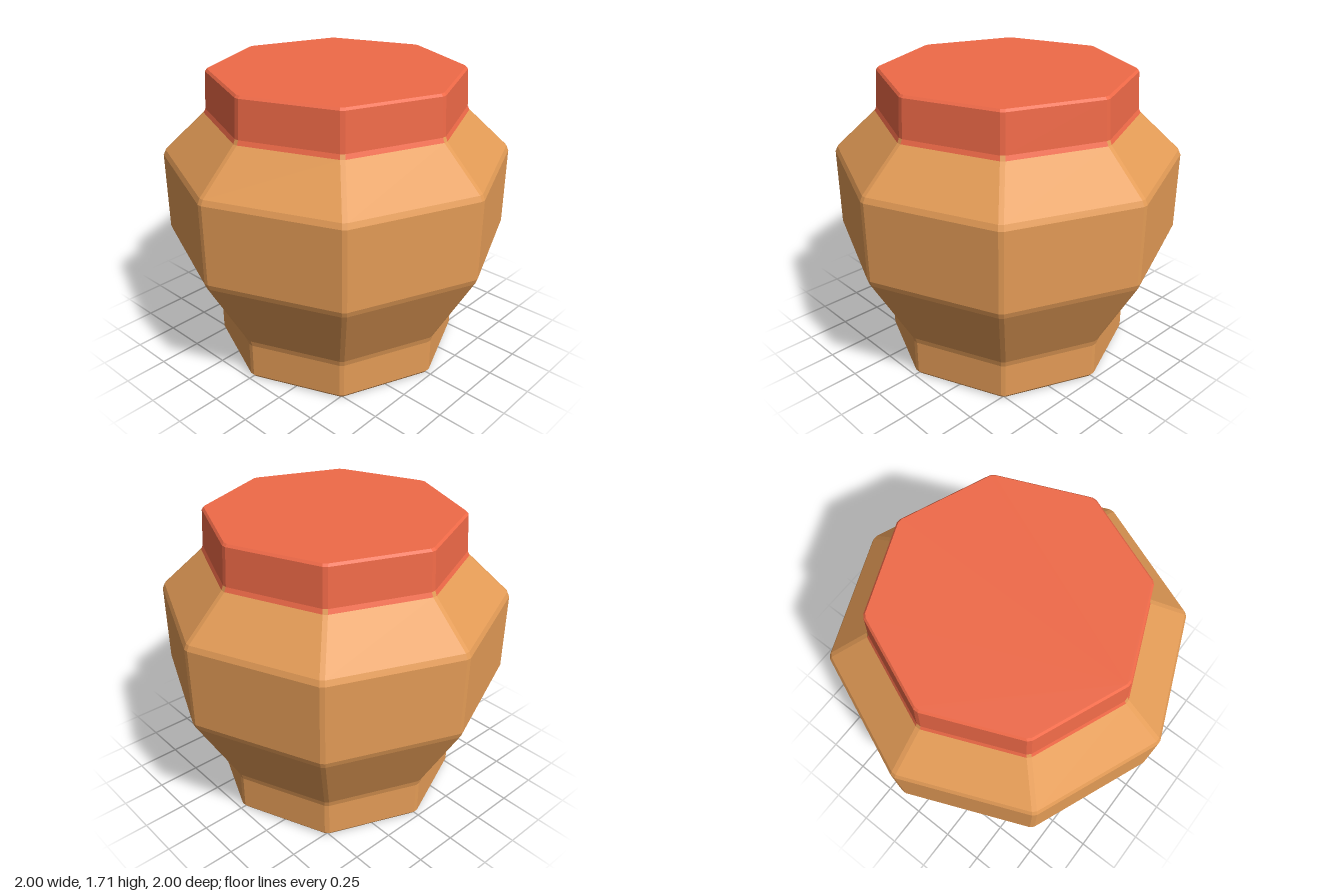
import * as THREE from 'three';

const CUT = 0.013; // half width of the bevel on each of the eight upright edges

// Octagon with cut corners: two points per corner, 16 in all
function ring([r, y]) {
  const points = [];
  for (let k = 0; k < 8; k++) {
    for (const s of [-CUT, CUT]) {
      const a = k * Math.PI / 4;
      points.push(new THREE.Vector3(
        r * Math.sin(a) + s * Math.cos(a), y, r * Math.cos(a) - s * Math.sin(a)));
    }
  }
  return points;
}

// Walls between successive rings; keep(side) chooses which of the 16 sides are made
function walls(profile, keep = () => true) {
  const tris = [];
  const rings = profile.map(ring);
  for (let i = 0; i < rings.length - 1; i++) {
    const lo = rings[i], hi = rings[i + 1];
    for (let j = 0; j < 16; j++) {
      if (!keep(j)) continue;
      const n = (j + 1) % 16;
      tris.push(lo[j], lo[n], hi[n], lo[j], hi[n], hi[j]);
    }
  }
  return tris;
}

// Flat end closing a ring
function cap(level, up) {
  const p = ring(level), tris = [];
  for (let j = 1; j < 15; j++) tris.push(p[0], ...(up ? [p[j], p[j + 1]] : [p[j + 1], p[j]]));
  return tris;
}

function part(name, tris, color) {
  const geometry = new THREE.BufferGeometry().setFromPoints(tris);
  geometry.computeVertexNormals();
  const mesh = new THREE.Mesh(geometry,
    new THREE.MeshStandardMaterial({ color, flatShading: true }));
  mesh.name = name;
  return mesh;
}

export function createModel() {
  const group = new THREE.Group();
  group.name = 'jar';

  // Profiles as [radius, height], with narrow bevel bands at each bend
  const body = [
    [0.71, 0], [0.727, 0.02], [0.727, 0.225], [0.737, 0.26],
    [0.988, 0.717], [1, 0.75], [1, 1.205], [0.986, 1.235], [0.752, 1.455],
  ];
  const neck = [[0.752, 1.455], [0.741, 1.48]];
  const lid = [[0.741, 1.48], [0.727, 1.692], [0.715, 1.705]];
  const isCorner = (j) => j % 2 === 0;

  // Pot, with the small corner facets of the neck band
  group.add(part('pot',
    [...cap(body[0], false), ...walls(body), ...walls(neck, isCorner)], 0xe39b56));

  // Lid, with the long facets of the neck band
  group.add(part('lid',
    [...walls(neck, (j) => !isCorner(j)), ...walls(lid), ...cap(lid[2], true)], 0xf06a48));

  return group;
}
